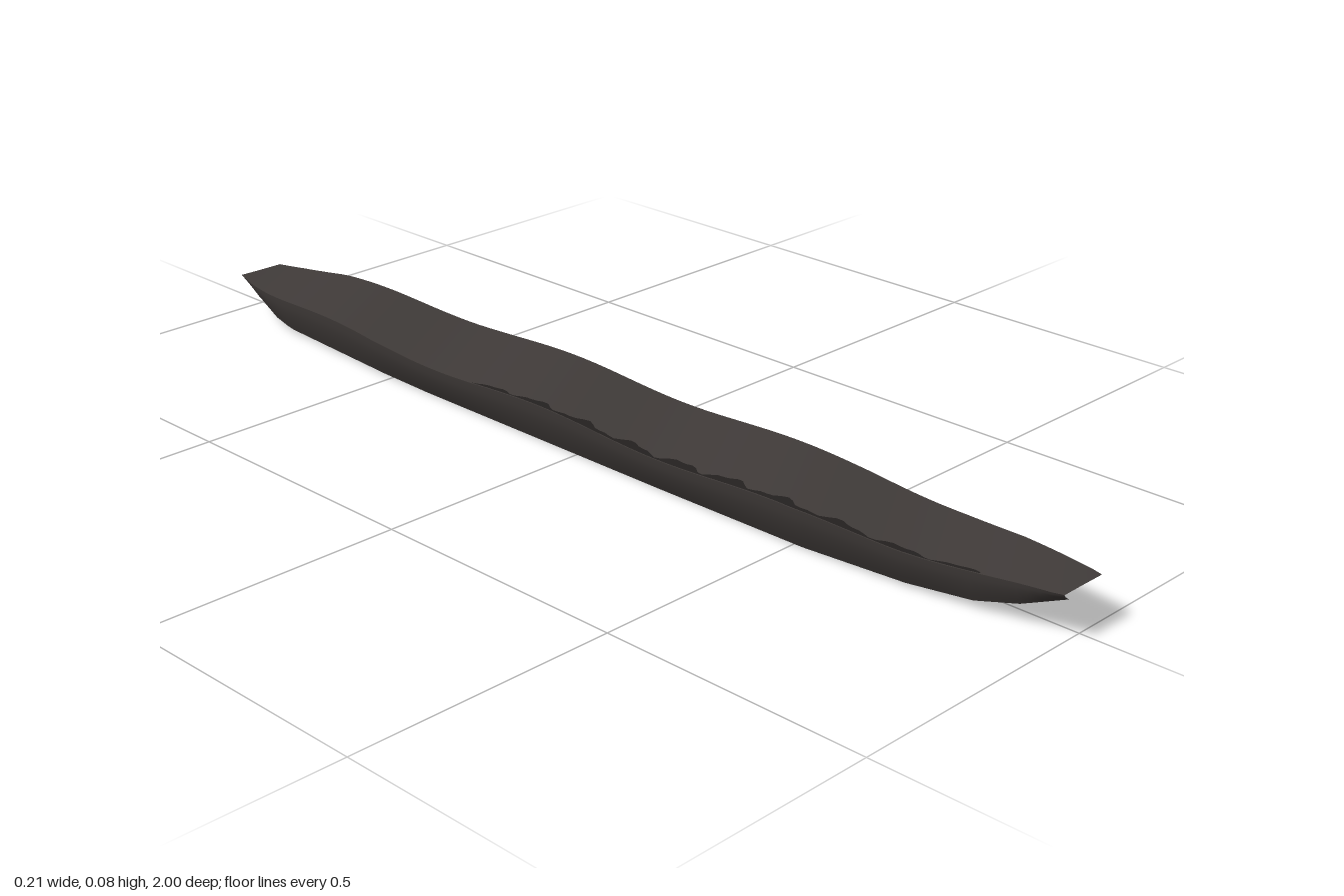
import * as THREE from 'three';

const wood = new THREE.MeshStandardMaterial({ color: 0x413c3a });
wood.name = 'charcoal brown';
const worn = new THREE.MeshStandardMaterial({ color: 0x242120, side: THREE.DoubleSide });
worn.name = 'worn dark edge';

// Stations along the hull: z, right half width, left half width, keel height
const stations = [
  [1, 0.048, 0.048, 0.07], [0.98, 0.053, 0.053, 0.062], [0.92, 0.06, 0.063, 0.036],
  [0.84, 0.071, 0.077, 0.015], [0.72, 0.089, 0.089, 0.006], [0.52, 0.107, 0.101, 0.002],
  [0.2, 0.107, 0.105, 0], [-0.4, 0.107, 0.107, 0], [-0.52, 0.106, 0.103, 0.002],
  [-0.83, 0.083, 0.088, 0.005], [-0.88, 0.077, 0.077, 0.014],
  [-0.94, 0.066, 0.065, 0.036], [-0.98, 0.054, 0.054, 0.052], [-1, 0.048, 0.048, 0.061],
];

// Interpolated station at any z
function at(z) {
  let i = 0;
  while (i < stations.length - 2 && stations[i + 1][0] > z) i++;
  const a = stations[i], b = stations[i + 1];
  const t = (a[0] - z) / (a[0] - b[0]);
  return a.map((v, k) => v + (b[k] - v) * t);
}

// Gently undulating deck height
const deckY = (x, z) => 0.076 + 0.006 * Math.cos((z + 0.6 * x - 0.43) * Math.PI * 2 / 0.56);

// Smooth sheet from a function of (u, v)
function sheet(name, point, nu, nv, material) {
  const pos = [], index = [];
  for (let i = 0; i <= nu; i++) {
    for (let j = 0; j <= nv; j++) pos.push(...point(i / nu, j / nv));
  }
  for (let i = 0; i < nu; i++) {
    for (let j = 0; j < nv; j++) {
      const a = i * (nv + 1) + j, b = a + nv + 1;
      index.push(a, b, a + 1, b, b + 1, a + 1);
    }
  }
  const g = new THREE.BufferGeometry();
  g.setAttribute('position', new THREE.Float32BufferAttribute(pos, 3));
  g.setIndex(index);
  g.computeVertexNormals();
  const mesh = new THREE.Mesh(g, material);
  mesh.name = name;
  return mesh;
}

// Flared side profile, v = 0 at the rim and 1 at the keel edge
function sidePoint(side, z, v) {
  const [, right, left, keel] = at(z);
  const w = side < 0 ? right : left;
  const top = deckY(side * w, z);
  const y = top + (keel - top) * v;
  return [side * w * (1 - 0.28 * Math.pow(v, 1.5)), y, z];
}

export function createModel() {
  const group = new THREE.Group();
  group.name = 'hull';
  const N = 100;
  const zAt = (u) => 1 - 2 * u;

  // Wavy deck
  group.add(sheet('deck', (u, v) => {
    const z = zAt(u), s = at(z);
    const x = s[2] - (s[1] + s[2]) * v;
    return [x, deckY(x, z), z];
  }, N, 8, wood));

  // Flared sides
  group.add(sheet('leftSide', (u, v) => sidePoint(1, zAt(u), 1 - v), N, 5, wood));
  group.add(sheet('rightSide', (u, v) => sidePoint(-1, zAt(u), v), N, 5, wood));

  // Flat underside rising at both ends
  group.add(sheet('underside', (u, v) => {
    const z = zAt(u), a = sidePoint(-1, z, 1), b = sidePoint(1, z, 1);
    return [a[0] + (b[0] - a[0]) * v, a[1], z];
  }, N, 4, wood));

  // Blunt bow and stern faces
  for (const end of [1, -1]) {
    group.add(sheet(end > 0 ? 'bowFace' : 'sternFace', (u, v) => {
      const a = sidePoint(-1, end, v), b = sidePoint(1, end, v);
      const t = end > 0 ? 1 - u : u;
      const x = b[0] + (a[0] - b[0]) * t;
      const top = deckY(x, end);
      return [x, top + (at(end)[3] - top) * v, end];
    }, 8, 2, wood));
  }

  // Ragged worn strip along the right rim
  group.add(sheet('wornRim', (u, v) => {
    const z = 0.86 - 1.1 * u;
    const edge = -at(z)[1];
    const ragged = 0.55 + 0.3 * Math.sin(u * 61) + 0.15 * Math.sin(u * 137);
    const x = edge + v * 0.027 * ragged * Math.sqrt(Math.sin(Math.PI * Math.min(1, u * 0.96 + 0.02)));
    return [x, deckY(x, z) + 0.0012, z];
  }, 90, 1, worn));
  // Rim sheet is wound from right to left, so flip it to face upward
  const rim = group.getObjectByName('wornRim').geometry;
  rim.setIndex(Array.from(rim.index.array).reverse());
  rim.computeVertexNormals();

  return group;
}
